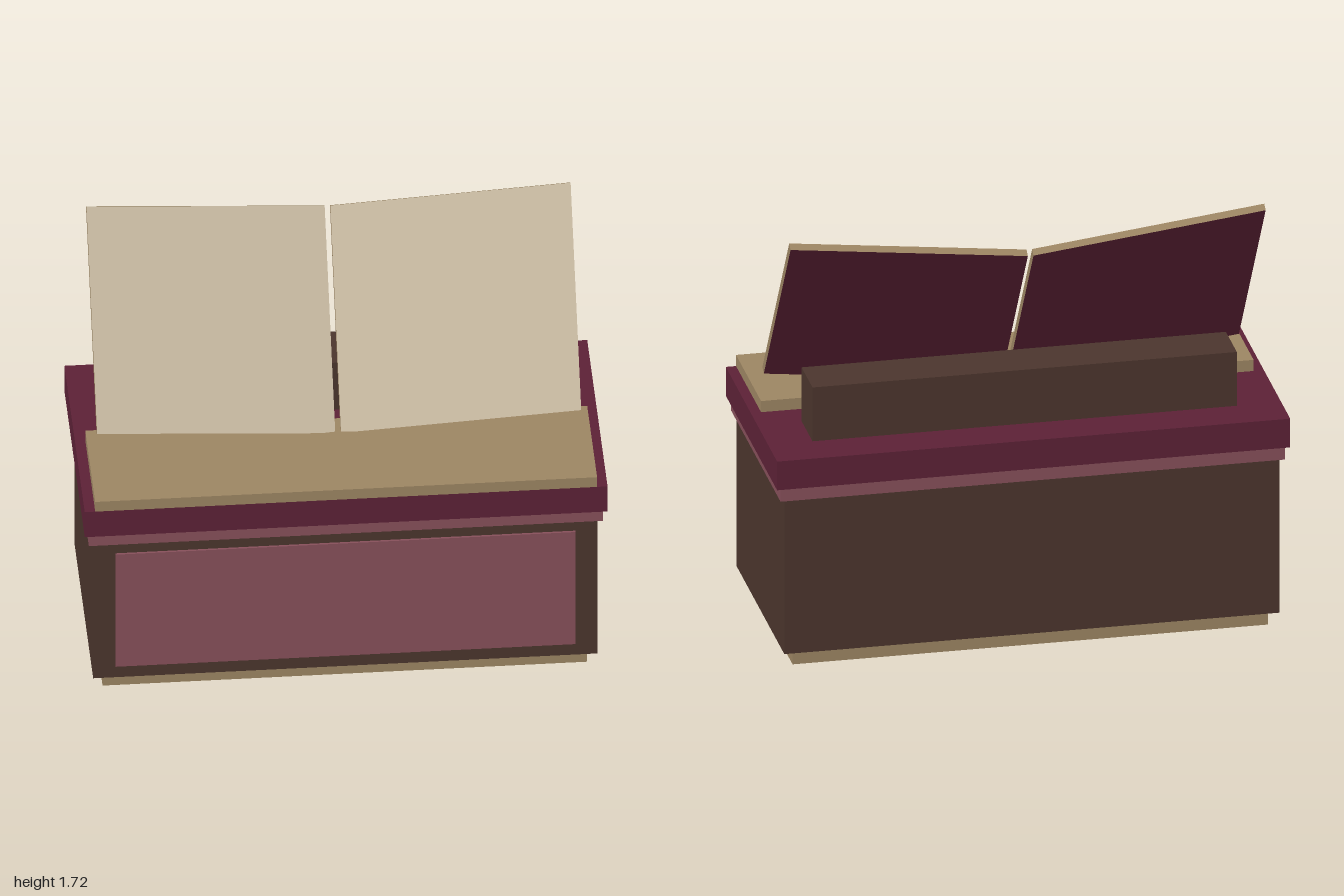
import * as THREE from 'three';

const mat = (name, color) => {
  const m = new THREE.MeshStandardMaterial({ color });
  m.name = name;
  return m;
};

export function createModel() {
  const brown = mat('dark wood', 0x4b352d);
  const tan = mat('tan trim', 0x9c8562);
  const maroon = mat('maroon', 0x5c2136);
  const rose = mat('dusty rose', 0x864f5a);
  const cream = mat('cream page', 0xc6b8a0);

  const model = new THREE.Group();
  model.name = 'lectern';

  // Box from its extents: x is symmetric, y and z are ranges
  const block = (name, material, halfX, [y0, y1], [z0, z1]) => {
    const mesh = new THREE.Mesh(new THREE.BoxGeometry(halfX * 2, y1 - y0, z1 - z0), material);
    mesh.position.set(0, (y0 + y1) / 2, (z0 + z1) / 2);
    mesh.name = name;
    model.add(mesh);
  };

  // Cabinet, from the floor up
  block('plinth', tan, 0.927, [0, 0.057], [-0.41, 0.41]);
  block('body', brown, 0.965, [0.057, 0.697], [-0.437, 0.437]);
  block('frontPanel', rose, 0.88, [0.113, 0.645], [0.437, 0.446]);
  block('cornice', rose, 0.983, [0.697, 0.753], [-0.453, 0.453]);
  block('top', maroon, 1, [0.753, 0.872], [-0.47, 0.47]);

  // Book support
  block('ledge', tan, 0.96, [0.872, 0.918], [0.012, 0.47]);
  block('backRest', brown, 0.827, [0.872, 1.095], [-0.305, -0.105]);

  // Open book: each half is a thin slanted slab rising toward its outer edge
  const up = new THREE.Vector3(0, 0.717, -0.49);
  const thick = new THREE.Vector3(0, 0.017, 0.025);
  for (const side of [1, -1]) {
    const across = new THREE.Vector3(0.915, side * 0.087, side * 0.047);
    const centre = new THREE.Vector3(side * 0.011, 0.913, 0.1)
      .addScaledVector(across, side / 2)
      .addScaledVector(up, 0.5)
      .addScaledVector(thick, -0.5);
    const slant = new THREE.Matrix4().makeBasis(across, up, thick).setPosition(centre);
    const geometry = new THREE.BoxGeometry(1, 1, 1).applyMatrix4(slant);
    // Tan page edges, cream page in front, maroon cover behind
    const half = new THREE.Mesh(geometry, [tan, tan, tan, tan, cream, maroon]);
    half.name = side > 0 ? 'leftBookHalf' : 'rightBookHalf';
    model.add(half);
  }

  return model;
}
